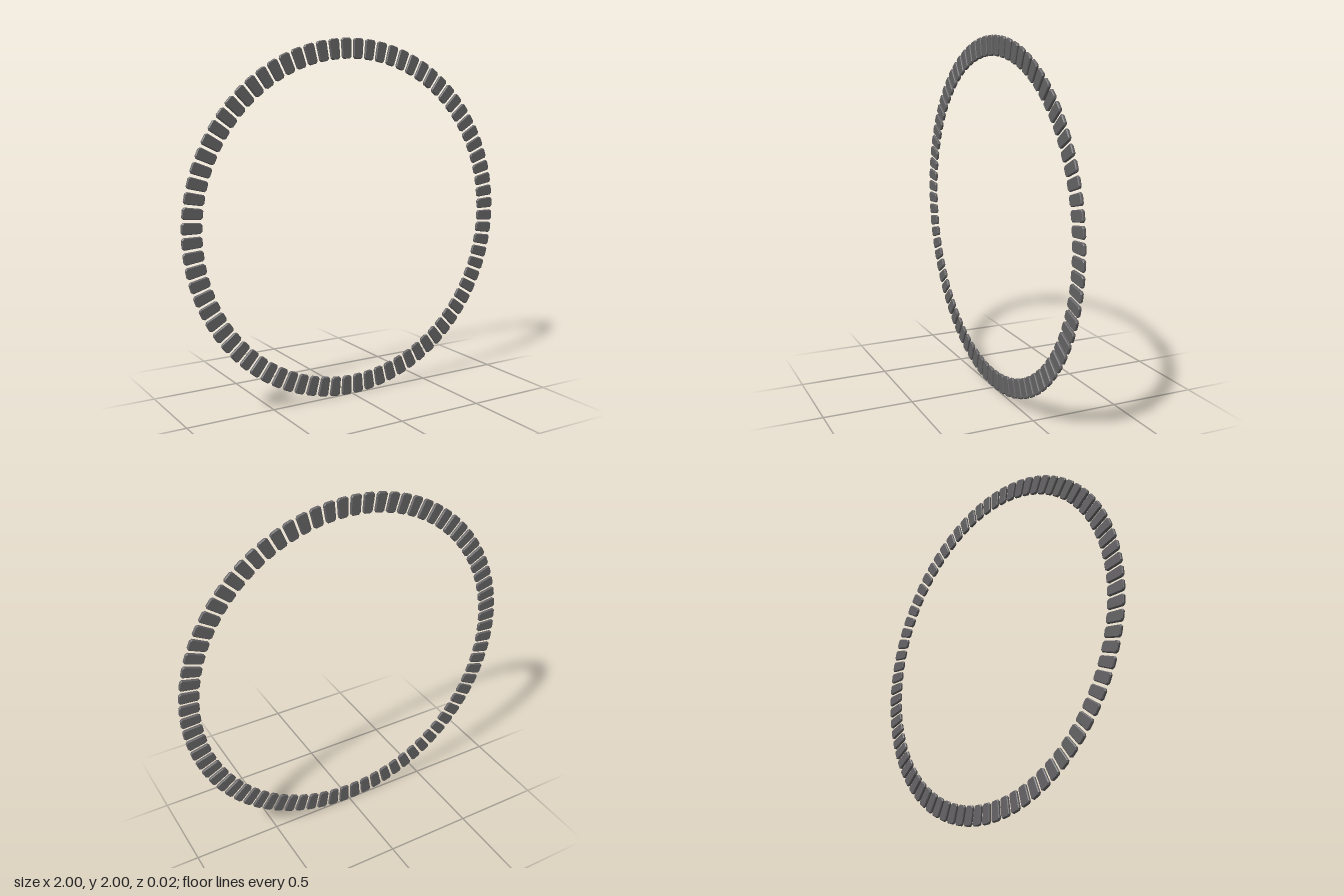
import * as THREE from 'three';

const COUNT = 80;       // tiles around the ring
const INNER = 0.888;    // radial extent of a tile
const OUTER = 0.999;
const BEVEL = 0.004;
const DEPTH = 0.017;

// One tile: slightly tapered plate with clipped corners and bevelled rims, lying along +y
function tileGeometry() {
  const y0 = INNER + BEVEL, y1 = OUTER - BEVEL;
  const w0 = 0.028 - BEVEL, w1 = 0.031 - BEVEL, c = 0.008;
  const shape = new THREE.Shape([
    [-w0 + c, y0], [w0 - c, y0], [w0, y0 + c], [w1, y1 - c],
    [w1 - c, y1], [-w1 + c, y1], [-w1, y1 - c], [-w0, y0 + c],
  ].map(([x, y]) => new THREE.Vector2(x, y)));
  const geometry = new THREE.ExtrudeGeometry(shape, {
    depth: DEPTH - 2 * BEVEL,
    bevelEnabled: true,
    bevelThickness: BEVEL,
    bevelSize: BEVEL,
    bevelSegments: 1,
  });
  geometry.translate(0, 0, -(DEPTH - 2 * BEVEL) / 2);
  return geometry;
}

export function createModel() {
  const group = new THREE.Group();
  group.name = 'tileRing';
  const darkGrey = new THREE.MeshStandardMaterial({ color: 0x666466 });
  darkGrey.name = 'darkGrey';
  const geometry = tileGeometry();

  // Tiles around the circle, with gaps falling on the axes
  for (let i = 0; i < COUNT; i++) {
    const tile = new THREE.Mesh(geometry, darkGrey);
    tile.name = `tile${i + 1}`;
    tile.rotation.z = ((i + 0.5) / COUNT) * Math.PI * 2;
    tile.position.y = 1;
    group.add(tile);
  }
  return group;
}
